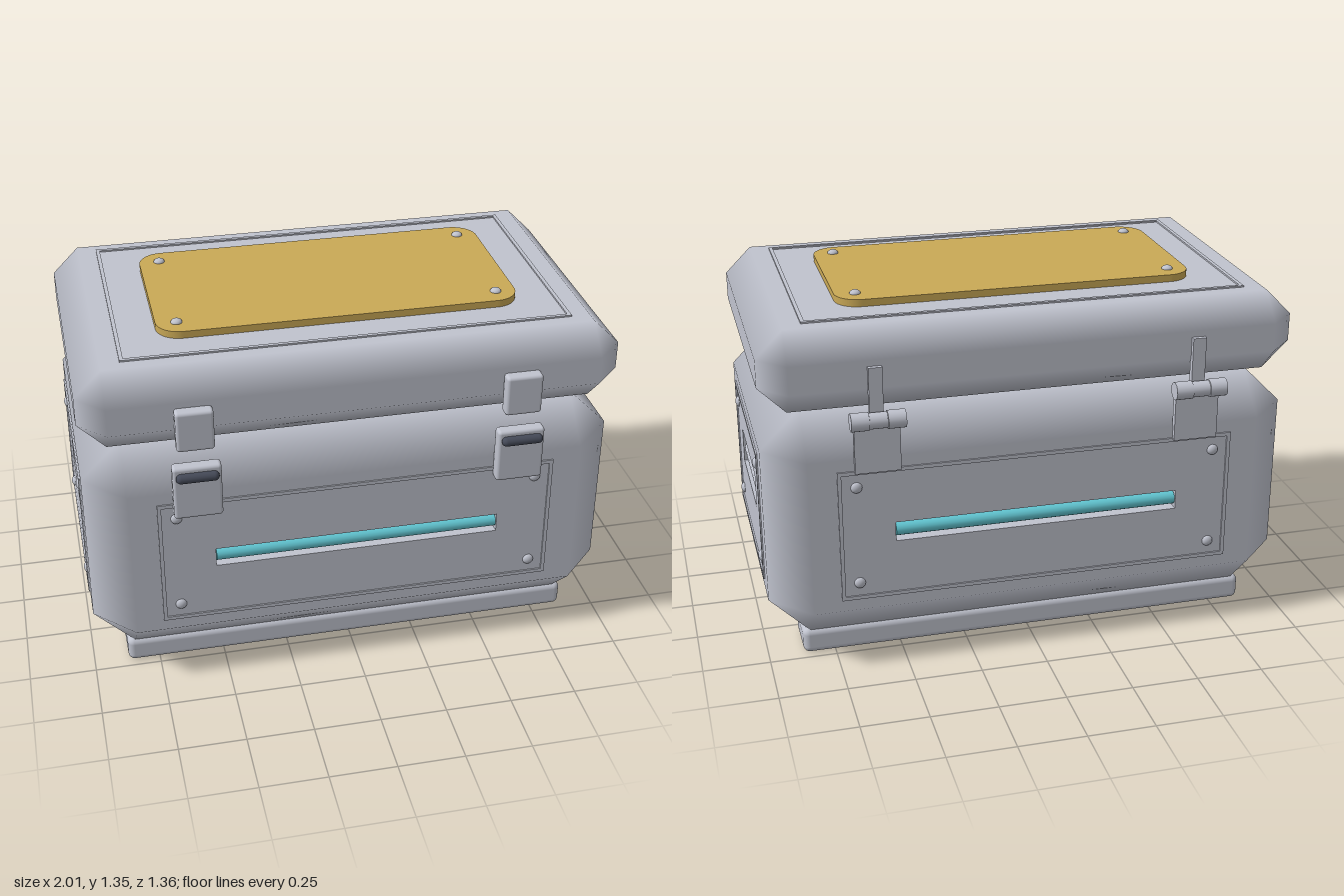
import * as THREE from 'three';
import { RoundedBoxGeometry } from 'three/addons/geometries/RoundedBoxGeometry.js';

const mat = (name, color) => {
  const m = new THREE.MeshStandardMaterial({ color });
  m.name = name;
  return m;
};

export function createModel() {
  const shell = mat('shell grey', 0xc0c3ce);
  const gold = mat('plaque gold', 0xcaa956);
  const cyan = mat('light cyan', 0x62c6d2);
  const dark = mat('dark slate', 0x454a58);

  const model = new THREE.Group();
  model.name = 'storageCrate';

  const add = (parent, name, geometry, material, x = 0, y = 0, z = 0) => {
    const m = new THREE.Mesh(geometry, material);
    m.name = name;
    m.position.set(x, y, z);
    parent.add(m);
    return m;
  };
  const rounded = (w, h, d, r) => new RoundedBoxGeometry(w, h, d, 3, r);

  // Chamfered box: flat main faces, softly shaded chamfers; openAxes leaves faces out
  function chamferBox(w, h, d, c, openAxes = []) {
    const half = [w / 2, h / 2, d / 2], pos = [], nor = [];
    const vert = (axis, s) => ({
      p: new THREE.Vector3(...s.map((v, i) => v * (half[i] - (i === axis ? 0 : c)))),
      n: new THREE.Vector3(...s.map((v, i) => (i === axis ? v : 0))),
    });
    const tri = (a, b, e) => {
      const cross = b.p.clone().sub(a.p).cross(e.p.clone().sub(a.p));
      const out = a.n.clone().add(b.n).add(e.n);
      for (const v of cross.dot(out) > 0 ? [a, b, e] : [a, e, b]) {
        pos.push(...v.p.toArray());
        nor.push(...v.n.toArray());
      }
    };
    const quad = (a, b, e, f) => { tri(a, b, e); tri(a, e, f); };
    const signs = (k, s, i, u, j, v) => {
      const r = [0, 0, 0];
      r[k] = s; r[i] = u; r[j] = v;
      return r;
    };
    for (let k = 0; k < 3; k++) {
      const i = (k + 1) % 3, j = (k + 2) % 3;
      for (const s of [-1, 1]) {
        if (!openAxes.includes(k)) {
          quad(...[[-1, -1], [1, -1], [1, 1], [-1, 1]].map(([u, v]) => vert(k, signs(k, s, i, u, j, v))));
        }
        // chamfer strips between faces k and i, running along j
        for (const u of [-1, 1]) {
          const lo = signs(k, s, i, u, j, -1), hi = signs(k, s, i, u, j, 1);
          quad(vert(k, lo), vert(k, hi), vert(i, hi), vert(i, lo));
        }
      }
    }
    for (const x of [-1, 1]) for (const y of [-1, 1]) for (const z of [-1, 1]) {
      tri(vert(0, [x, y, z]), vert(1, [x, y, z]), vert(2, [x, y, z]));
    }
    const g = new THREE.BufferGeometry();
    g.setAttribute('position', new THREE.Float32BufferAttribute(pos, 3));
    g.setAttribute('normal', new THREE.Float32BufferAttribute(nor, 3));
    return g;
  }

  const corners = (w, h) => [[-w / 2, -h / 2], [w / 2, -h / 2], [w / 2, h / 2], [-w / 2, h / 2]];

  // Recess walls through rectangular rings [w, h, z], closed by a floor
  function recess(rings) {
    const pos = [];
    const loops = rings.map(([w, h, z]) => corners(w, h).map(([x, y]) => [x, y, z]));
    for (let r = 0; r + 1 < loops.length; r++) {
      for (let i = 0; i < 4; i++) {
        const j = (i + 1) % 4, a = loops[r], b = loops[r + 1];
        pos.push(...a[i], ...a[j], ...b[j], ...a[i], ...b[j], ...b[i]);
      }
    }
    const f = loops[loops.length - 1];
    pos.push(...f[0], ...f[1], ...f[2], ...f[0], ...f[2], ...f[3]);
    const g = new THREE.BufferGeometry();
    g.setAttribute('position', new THREE.Float32BufferAttribute(pos, 3));
    g.computeVertexNormals();
    return g;
  }

  // Thin raised rectangular trim facing +z
  function trim(parent, w, h) {
    const t = 0.014, d = 0.006;
    for (const s of [-1, 1]) {
      add(parent, 'panelTrim', new THREE.BoxGeometry(t, h, d), shell, s * (w - t) / 2, 0, d / 2);
      add(parent, 'panelTrim', new THREE.BoxGeometry(w - 2 * t, t, d), shell, 0, s * (h - t) / 2, d / 2);
    }
  }

  // Four domed rivets facing +z
  function rivets(parent, x, y, z = 0) {
    for (const sx of [-1, 1]) for (const sy of [-1, 1]) {
      const g = new THREE.SphereGeometry(0.021, 16, 6, 0, Math.PI * 2, 0, Math.PI / 2);
      g.rotateX(Math.PI / 2).scale(1, 1, 0.65);
      add(parent, 'rivet', g, shell, sx * x, sy * y, z);
    }
  }

  // One wall of the body with its opening, trim and rivets
  function wall(name, w, h, rings, frameW, rivetX) {
    const g = new THREE.Group();
    g.name = name;
    const shape = new THREE.Shape(corners(w, h).map((p) => new THREE.Vector2(...p)));
    shape.holes.push(new THREE.Path(corners(rings[0][0], rings[0][1]).map((p) => new THREE.Vector2(...p))));
    add(g, 'wallFace', new THREE.ShapeGeometry(shape), shell);
    add(g, 'recess', recess(rings), shell);
    trim(g, frameW, 0.51);
    rivets(g, rivetX, 0.19);
    model.add(g);
    return g;
  }

  // Body
  const W = 1.98, H = 0.9, D = 1.22, C = 0.15, midY = 0.54;
  add(model, 'body', chamferBox(W, H, D, C, [0, 2]), shell, 0, midY, 0);
  add(model, 'neck', new THREE.BoxGeometry(1.66, 0.04, 0.9), shell, 0, 0.995, 0);

  for (const s of [1, -1]) {
    // Front and back walls with a light bar in a slot
    const slot = [[1.065, 0.074, 0], [1.065, 0.074, -0.06]];
    const long = wall(s > 0 ? 'frontWall' : 'backWall', W - 2 * C, H - 2 * C, slot, 1.475, 0.67);
    long.position.set(0, midY, s * D / 2);
    long.rotation.y = s > 0 ? 0 : Math.PI;
    const bar = add(long, 'lightBar', new THREE.CylinderGeometry(0.025, 0.025, 1.06, 16), cyan, 0, 0, -0.025);
    bar.rotation.z = Math.PI / 2;

    // Side walls with a carry handle in a tapered recess
    const cup = [[0.437, 0.135, 0], [0.437, 0.135, -0.04], [0.357, 0.06, -0.08]];
    cup.forEach((r) => { r[1] *= 1; });
    const side = wall(s > 0 ? 'leftWall' : 'rightWall', D - 2 * C, H - 2 * C, cup, 0.755, 0.307);
    side.position.set(s * W / 2, midY, 0);
    side.rotation.y = s * Math.PI / 2;
    side.children.find((m) => m.name === 'recess').position.y = 0.037;
    const hole = corners(0.437, 0.135).map(([x, y]) => new THREE.Vector2(x, y + 0.037));
    const face = side.children.find((m) => m.name === 'wallFace');
    const faceShape = new THREE.Shape(corners(D - 2 * C, H - 2 * C).map((p) => new THREE.Vector2(...p)));
    faceShape.holes.push(new THREE.Path(hole));
    face.geometry = new THREE.ShapeGeometry(faceShape);
    const grip = add(side, 'handle', new THREE.CapsuleGeometry(0.025, 0.37, 6, 16), shell, 0, 0.037, -0.027);
    grip.rotation.z = Math.PI / 2;

    // Skids
    add(model, 'skid', rounded(1.74, 0.1, 0.197, 0.025), shell, 0, 0.05, s * 0.378);

    // Latches on the front
    const x = s * 0.592;
    add(model, 'latchCatch', rounded(0.135, 0.155, 0.05, 0.012), shell, x, 1.108, 0.63);
    add(model, 'latchPlate', rounded(0.175, 0.21, 0.05, 0.012), shell, x, 0.86, 0.63);
    const pull = add(model, 'latchPull', new THREE.CapsuleGeometry(0.018, 0.118, 6, 16), dark, x, 0.93, 0.664);
    pull.rotation.z = Math.PI / 2;

    // Hinges on the back
    add(model, 'hingeLowerLeaf', new THREE.BoxGeometry(0.165, 0.195, 0.024), shell, x, 0.887, -0.615);
    add(model, 'hingeUpperLeaf', new THREE.BoxGeometry(0.05, 0.185, 0.024), shell, x, 1.09, -0.615);
    for (const k of [-1, 0, 1]) {
      const r = k === 0 ? 0.029 : 0.033;
      const knuckle = add(model, 'hingeKnuckle', new THREE.CylinderGeometry(r, r, 0.064, 20), shell, x + k * 0.065, 0.995, -0.646);
      knuckle.rotation.z = Math.PI / 2;
    }
  }

  // Lid
  add(model, 'lid', chamferBox(W, 0.305, D, 0.1), shell, 0, 1.1525, 0);
  const top = new THREE.Group();
  top.name = 'lidTop';
  top.position.y = 1.305;
  top.rotation.x = -Math.PI / 2;
  model.add(top);
  trim(top, 1.64, 0.925);

  // Gold plaque with rounded corners
  const a = 0.67, b = 0.334, r = 0.09, plaque = new THREE.Shape();
  plaque.absarc(a - r, b - r, r, 0, Math.PI / 2);
  plaque.absarc(-a + r, b - r, r, Math.PI / 2, Math.PI);
  plaque.absarc(-a + r, -b + r, r, Math.PI, Math.PI * 1.5);
  plaque.absarc(a - r, -b + r, r, Math.PI * 1.5, Math.PI * 2);
  add(top, 'plaque', new THREE.ExtrudeGeometry(plaque, { depth: 0.027, bevelEnabled: false, curveSegments: 10 }), gold);
  rivets(top, 0.594, 0.257, 0.027);

  return model;
}
